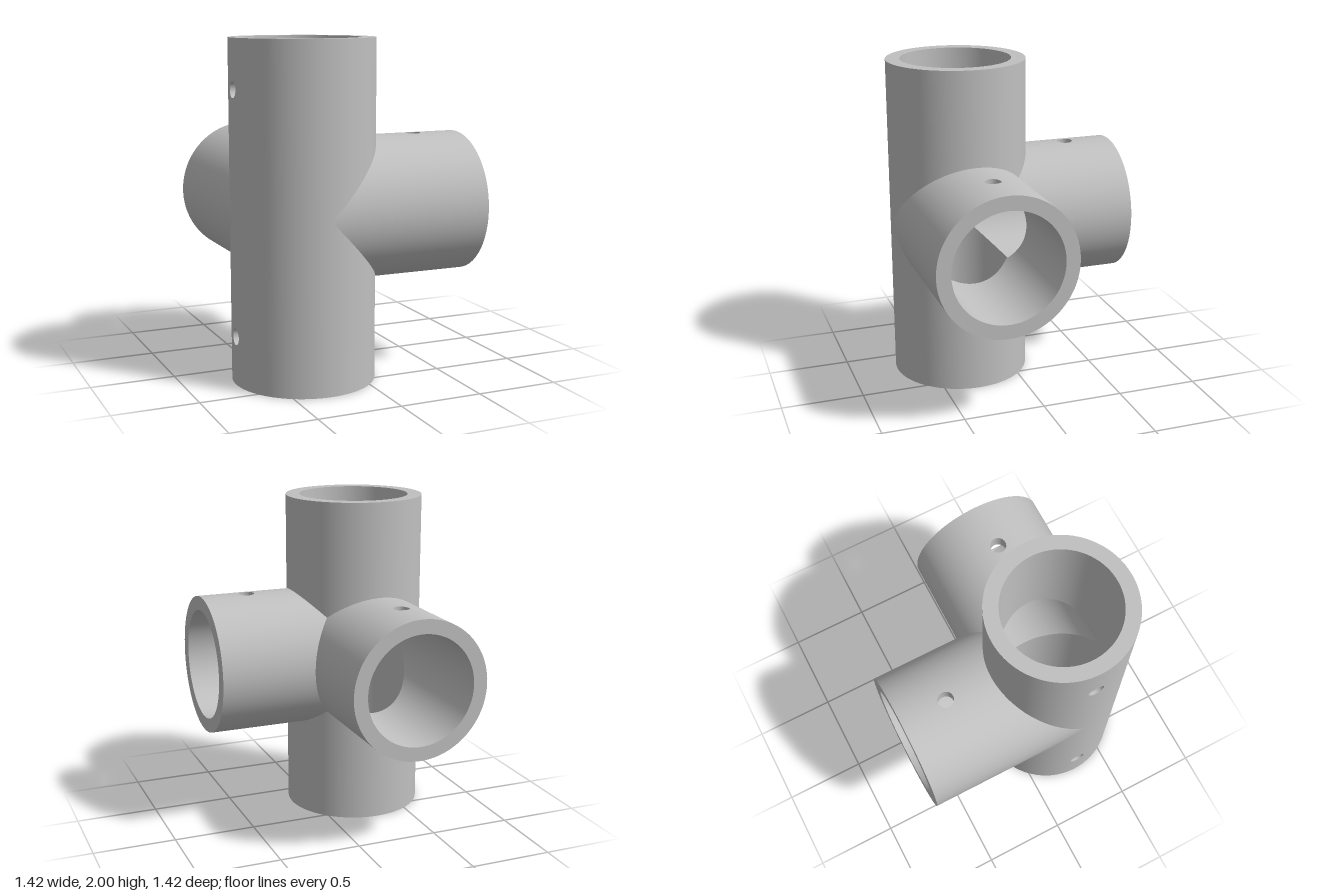
import * as THREE from 'three';
import { mergeGeometries } from 'three/addons/utils/BufferGeometryUtils.js';

const OUTER = 0.4225, BORE = 0.336, LENGTH = 1;      // pipe radii, arm length from the joint centre
const HOLE = 0.048, HOLE_AT = 0.713;                 // screw hole radius and distance along the arm
const COLS = 96, STEP = (Math.PI * 2) / COLS;        // columns round a pipe
const HALF = 4, PATCH = 0.1;                         // patch round a hole: half columns, half length
const CENTRE = new THREE.Vector3(-0.289, 1, 0.289);

const X = new THREE.Vector3(1, 0, 0), Y = new THREE.Vector3(0, 1, 0), Z = new THREE.Vector3(0, 0, 1);
const neg = (v) => v.clone().negate();

// Each arm: direction, and the side on which its screw hole sits
const ARMS = [
  { name: 'upperArm', d: Y, e: neg(X) },
  { name: 'lowerArm', d: neg(Y), e: neg(X) },
  { name: 'sideArm', d: X, e: Y },
  { name: 'backArm', d: neg(Z), e: Y },
];

// Grid of nu x nv cells; f(i, v) returns { p, n }
function grid(nu, nv, f, flip) {
  const pos = [], nor = [], idx = [];
  for (let i = 0; i <= nu; i++) {
    for (let j = 0; j <= nv; j++) {
      const { p, n } = f(i, j / nv);
      pos.push(p.x, p.y, p.z);
      nor.push(n.x, n.y, n.z);
    }
  }
  for (let i = 0; i < nu; i++) {
    for (let j = 0; j < nv; j++) {
      const a = i * (nv + 1) + j, b = a + nv + 1;
      if (flip) idx.push(a, b + 1, b, a, a + 1, b + 1);
      else idx.push(a, b, b + 1, a, b + 1, a + 1);
    }
  }
  const g = new THREE.BufferGeometry();
  g.setAttribute('position', new THREE.Float32BufferAttribute(pos, 3));
  g.setAttribute('normal', new THREE.Float32BufferAttribute(nor, 3));
  g.setIndex(idx);
  return g;
}

// Point k of 32 on the unit square, counterclockwise, eight steps to a side
function square(k) {
  const wave = (q) => THREE.MathUtils.clamp(2 * Math.abs((q % 4) - 2) - 2, -1, 1);
  return new THREE.Vector2(wave(k / 8), wave(k / 8 + 3));
}

function makeArm({ name, d, e }, material) {
  const c = d.clone().cross(e);
  const others = ARMS.map((arm) => arm.d).filter((v) => v !== d);
  const radial = (a) => e.clone().multiplyScalar(Math.cos(a)).addScaledVector(c, Math.sin(a));
  const at = (r, a, t) => radial(a).multiplyScalar(r).addScaledVector(d, t);
  // Mitre line where the wall meets the neighbouring arms
  const start = (r, a) => r * Math.max(0, ...others.map((o) => radial(a).dot(o)));
  // Rim of the screw hole on a wall of radius r
  const rim = (r, k) => {
    const q = square(k).normalize().multiplyScalar(HOLE);
    return { a: Math.asin(q.x / r), t: HOLE_AT + q.y };
  };

  // Pipe wall: three bands along the arm, plus a patch with the screw hole
  function wall(r, inside) {
    const point = (a, t) => ({ p: at(r, a, t), n: radial(a).multiplyScalar(inside ? -1 : 1) });
    const band = (first, count, from, to) => grid(count, 1, (i, v) => {
      const a = (first + i) * STEP;
      return point(a, THREE.MathUtils.lerp(from(a), to, v));
    }, inside);
    const low = HOLE_AT - PATCH, high = HOLE_AT + PATCH;
    const patch = grid(32, 3, (k, v) => {
      const q = square(k), h = rim(r, k);
      return point(
        THREE.MathUtils.lerp(h.a, q.x * HALF * STEP, v),
        THREE.MathUtils.lerp(h.t, HOLE_AT + q.y * PATCH, v));
    }, !inside);
    return mergeGeometries([
      band(0, COLS, (a) => start(r, a), low),
      band(HALF, COLS - 2 * HALF, () => low, high),
      band(0, COLS, () => high, LENGTH),
      patch,
    ]);
  }

  // Flat ring at the open end
  const endRing = grid(COLS, 1, (i, v) => ({
    p: at(THREE.MathUtils.lerp(BORE, OUTER, v), i * STEP, LENGTH), n: d,
  }), true);

  // Inside of the screw hole, through the wall
  const screwHole = grid(32, 1, (k, v) => {
    const r = v ? OUTER : BORE, h = rim(r, k), q = square(k).normalize();
    return {
      p: at(r, h.a, h.t),
      n: c.clone().multiplyScalar(-q.x).addScaledVector(d, -q.y),
    };
  }, true);

  const group = new THREE.Group();
  group.name = name;
  const parts = { outerWall: wall(OUTER, false), bore: wall(BORE, true), endRing, screwHole };
  for (const [part, geometry] of Object.entries(parts)) {
    const mesh = new THREE.Mesh(geometry, material);
    mesh.name = part;
    group.add(mesh);
  }
  return group;
}

export function createModel() {
  const material = new THREE.MeshStandardMaterial({ color: 0xc0c0c0 });
  material.name = 'plainGrey';
  const model = new THREE.Group();
  model.name = 'pipeFitting';
  const joint = new THREE.Group();
  joint.name = 'joint';
  joint.position.copy(CENTRE);
  for (const arm of ARMS) joint.add(makeArm(arm, material));
  model.add(joint);
  return model;
}
